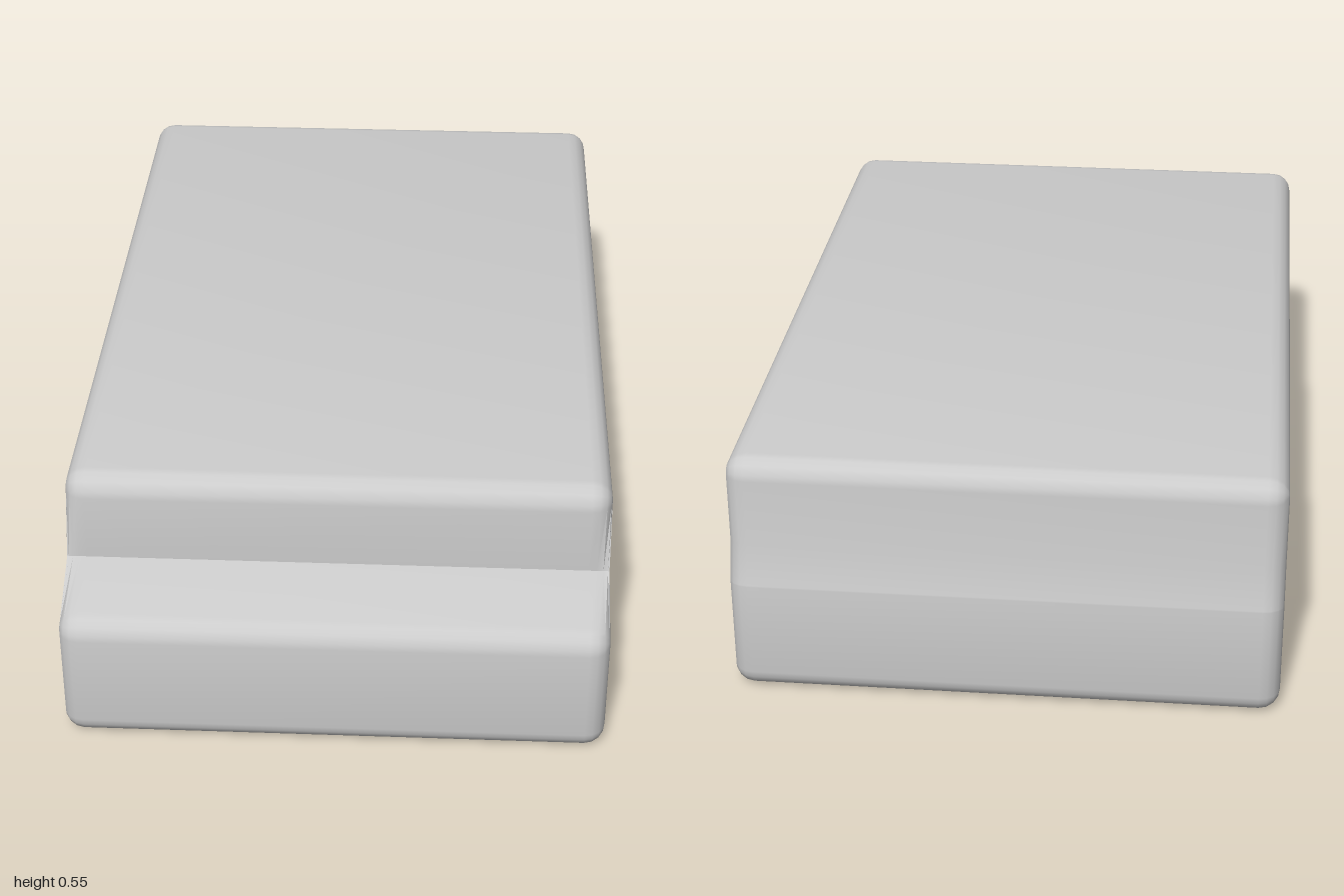
import * as THREE from 'three';
import { toCreasedNormals } from 'three/addons/utils/BufferGeometryUtils.js';

const HALF = 0.592;   // half width
const BEVEL = 0.045;  // rounding of the side edges
const STEPS = 4;

// Side profile corners, anticlockwise: [z, y, corner radius, side bevel]
const CORNERS = [
  [-0.998, 0, 0.045, BEVEL],
  [1, 0, 0.045, BEVEL],
  [1, 0.3, 0.05, BEVEL],
  [0.805, 0.345, 0, 0],       // step, where the side bevel fades out
  [0.805, 0.548, 0.05, BEVEL],
  [-0.973, 0.548, 0.045, BEVEL],
  [-0.973, 0.35, 0, BEVEL],
  [-0.998, 0.26, 0.05, BEVEL],
];

// Rounded profile as arc centres, outward normals, radii and bevels
function makeProfile() {
  const samples = [];
  CORNERS.forEach(([z, y, r, bevel], i) => {
    const p = new THREE.Vector2(z, y);
    const n = CORNERS.length;
    const prev = CORNERS[(i + n - 1) % n], next = CORNERS[(i + 1) % n];
    const nu = new THREE.Vector2(y - prev[1], prev[0] - z).normalize();
    const nv = new THREE.Vector2(next[1] - y, z - next[0]).normalize();
    const mitre = nu.clone().add(nv).divideScalar(1 + nu.dot(nv));
    const centre = p.clone().addScaledVector(mitre, -r);
    if (r === 0) {
      samples.push({ centre, normal: mitre, r, bevel });
      return;
    }
    for (let k = 0; k <= STEPS; k++) {
      const normal = nu.clone().lerp(nv, k / STEPS).normalize();
      samples.push({ centre, normal, r, bevel });
    }
  });
  return samples;
}

// Profile pulled inwards by a fraction of its bevel
const insetProfile = (samples, f) =>
  samples.map(s => s.centre.clone().addScaledVector(s.normal, s.r - s.bevel * f));

function makeBody() {
  const samples = makeProfile();
  const n = samples.length;

  // Cross-sections from the right side to the left side
  const rings = [];
  for (let k = 0; k <= STEPS; k++) {
    const a = (k / STEPS) * Math.PI / 2;
    rings.push({ x: -(HALF - BEVEL + BEVEL * Math.cos(a)), f: 1 - Math.sin(a) });
  }
  rings.push(...rings.map(r => ({ x: -r.x, f: r.f })).reverse());

  const positions = [], index = [];
  for (const { x, f } of rings) {
    for (const p of insetProfile(samples, f)) positions.push(x, p.y, p.x);
  }
  for (let i = 0; i < rings.length - 1; i++) {
    for (let j = 0; j < n; j++) {
      const a = i * n + j, b = i * n + (j + 1) % n;
      index.push(a, a + n, b + n, a, b + n, b);
    }
  }

  // Flat side faces
  const last = (rings.length - 1) * n;
  for (const [a, b, c] of THREE.ShapeUtils.triangulateShape(insetProfile(samples, 1), [])) {
    index.push(a, b, c, last + a, last + c, last + b);
  }

  const geometry = new THREE.BufferGeometry();
  geometry.setAttribute('position', new THREE.Float32BufferAttribute(positions, 3));
  geometry.setIndex(index);
  return toCreasedNormals(geometry, 0.6);
}

export function createModel() {
  const group = new THREE.Group();
  group.name = 'steppedBlock';
  const body = new THREE.Mesh(makeBody(), new THREE.MeshStandardMaterial({ color: 0xcccccc }));
  body.name = 'body';
  group.add(body);
  return group;
}
